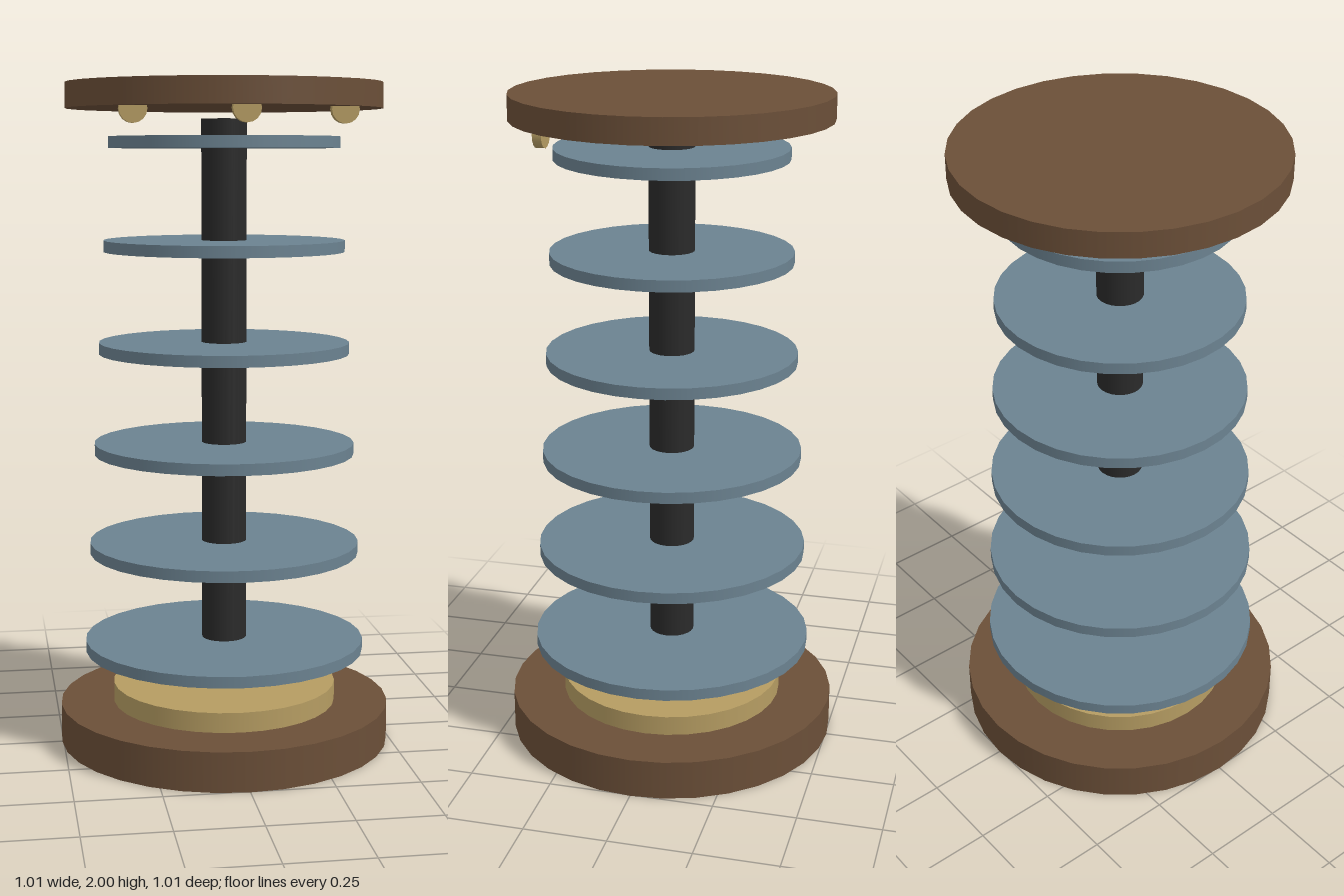
import * as THREE from 'three';

export function createModel() {
  const group = new THREE.Group();
  const flat = (name, color) => {
    const m = new THREE.MeshStandardMaterial({ color });
    m.name = name;
    return m;
  };
  const wood = flat('brown wood', 0x6b4f38);
  const brass = flat('brass', 0xb59c62);
  const slate = flat('blue grey', 0x6b8290);
  const black = flat('black', 0x2a2a2a);

  // Upright disc or post spanning y0 to y1
  const disc = (name, material, radius, y0, y1, sides = 32) => {
    const mesh = new THREE.Mesh(new THREE.CylinderGeometry(radius, radius, y1 - y0, sides), material);
    mesh.name = name;
    mesh.position.y = (y0 + y1) / 2;
    group.add(mesh);
  };

  disc('base', wood, 0.505, 0, 0.12);
  disc('baseCollar', brass, 0.342, 0.12, 0.18);
  disc('post', black, 0.068, 0.18, 1.895, 24);
  disc('topCap', wood, 0.47, 1.925, 2);

  // Six shelves, tapering towards the top
  for (let i = 0; i < 6; i++) {
    const y = 0.299 + i * 0.3055;
    disc(`shelf${i + 1}`, slate, 0.427 - i * 0.0165, y - 0.017, y + 0.017);
  }

  // Small round studs under the front of the cap
  for (const [name, x, z] of [['leftStud', 0.3, 0.294], ['centreStud', 0, 0.414], ['rightStud', -0.3, 0.294]]) {
    const stud = new THREE.Mesh(new THREE.CylinderGeometry(0.04, 0.04, 0.026, 16), brass);
    stud.name = name;
    stud.rotation.x = Math.PI / 2;
    stud.position.set(x, 1.916, z);
    group.add(stud);
  }

  return group;
}
